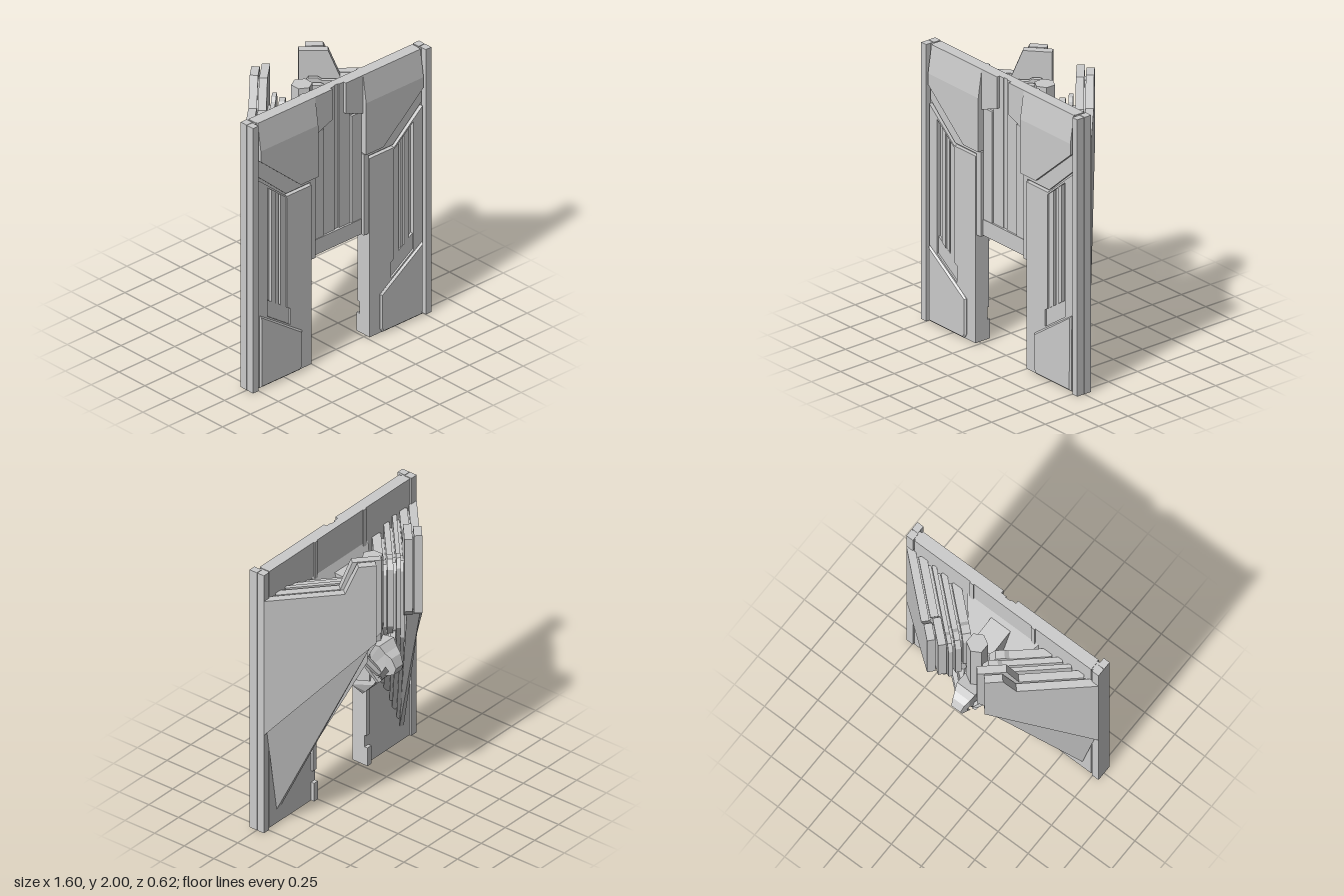
import * as THREE from 'three';
import { ConvexGeometry } from 'three/addons/geometries/ConvexGeometry.js';

const material = new THREE.MeshStandardMaterial({ color: 0xcccccc, flatShading: true });

// Applies a matrix and keeps faces outward when it mirrors
function transform(geo, matrix) {
  const g = geo.index ? geo.toNonIndexed() : geo.clone();
  g.applyMatrix4(matrix);
  if (matrix.determinant() < 0) {
    const p = g.attributes.position;
    for (let i = 0; i < p.count; i += 3) {
      const a = [p.getX(i), p.getY(i), p.getZ(i)];
      p.setXYZ(i, p.getX(i + 1), p.getY(i + 1), p.getZ(i + 1));
      p.setXYZ(i + 1, ...a);
    }
  }
  g.computeVertexNormals();
  return g;
}

// Outline in x/y, extruded from z0 to z1, with optional hole and chamfer
function slab(points, z0, z1, hole, bevel = 0) {
  const shape = new THREE.Shape(points.map(p => new THREE.Vector2(...p)));
  if (hole) shape.holes.push(new THREE.Path(hole.map(p => new THREE.Vector2(...p))));
  const geo = new THREE.ExtrudeGeometry(shape, {
    depth: z1 - z0 - bevel, bevelEnabled: bevel > 0, bevelSegments: 1,
    bevelThickness: bevel, bevelSize: bevel, bevelOffset: -bevel,
  });
  return geo.translate(0, 0, z0);
}

function box(x0, x1, y0, y1, z0, z1) {
  return new THREE.BoxGeometry(x1 - x0, y1 - y0, z1 - z0)
    .translate((x0 + x1) / 2, (y0 + y1) / 2, (z0 + z1) / 2);
}

function hull(points) {
  return new ConvexGeometry(points.map(p => new THREE.Vector3(...p)));
}

// Profile in z/y, extruded across x from x0 to x1
function sideProfile(points, x0, x1) {
  const m = new THREE.Matrix4().makeBasis(
    new THREE.Vector3(0, 0, 1), new THREE.Vector3(0, 1, 0), new THREE.Vector3(1, 0, 0));
  return transform(slab(points, x0, x1), m);
}

export function createModel() {
  const model = new THREE.Group();
  const identity = new THREE.Matrix4();
  const flip = new THREE.Matrix4().makeScale(-1, 1, 1);

  const add = (name, geo, m = identity) => {
    const mesh = new THREE.Mesh(transform(geo, m), material);
    mesh.name = name;
    model.add(mesh);
  };
  const addPair = (name, geo, m = identity) => {
    add(name + 'Left', geo, m);
    add(name + 'Right', geo, flip.clone().multiply(m));
  };

  // Front door: upper centre and two legs
  add('centrePanel', box(-0.26, 0.26, 0.81, 2, 0.195, 0.25));
  addPair('legCore', box(0.26, 0.735, 0.01, 2, 0.195, 0.265));
  addPair('sideRailFront', box(0.75, 0.8, 0, 2, 0.25, 0.31));
  addPair('sideRailMiddle', box(0.73, 0.79, 0.005, 1.995, 0.205, 0.27));
  addPair('sideRailBack', box(0.745, 0.8, 0, 2, 0.19, 0.246));
  addPair('rearTopStrip', box(0.24, 0.27, 1.4, 2, 0.187, 0.2));

  // Upper panel with its face sloping back towards the top edge
  addPair('upperPanel', slab([[0.73, 1.8], [0.73, 1.72], [0.37, 1.41], [0.215, 1.41], [0.215, 1.8]], 0.25, 0.31));
  addPair('upperPanelSlope', sideProfile([[0.25, 1.8], [0.31, 1.8], [0.28, 2], [0.25, 2]], 0.215, 0.73));
  addPair('upperInnerPanel', slab([[0.06, 2], [0.06, 1.77], [0.215, 1.71], [0.215, 2]], 0.24, 0.28));

  // Stepped band under the upper panel
  addPair('bandTrim', slab([[0.735, 1.75], [0.735, 1.6], [0.48, 1.375], [0.24, 1.375],
    [0.24, 1.42], [0.37, 1.42]], 0.25, 0.283));

  // Leg plate with a recess and sloped ribs inside it
  addPair('legPlate',
    slab([[0.26, 0.01], [0.735, 0.01], [0.735, 1.575], [0.48, 1.36], [0.26, 1.36]], 0.25, 0.295,
      [[0.48, 1.345], [0.655, 1.49], [0.655, 0.52], [0.45, 0.38], [0.45, 0.5], [0.48, 0.52]]));
  addPair('recessStep', slab([[0.45, 0.5], [0.655, 0.64], [0.655, 0.5], [0.45, 0.36]], 0.25, 0.282));
  [[0.48, 0.53, 0.285], [0.545, 0.57, 0.28], [0.575, 0.615, 0.288]].forEach(([a, b, z]) => {
    const top = x => 1.345 + (x - 0.48) * 0.83;
    const bottom = x => 0.5 + (x - 0.45) * 0.68;
    addPair('recessRib', slab([[a, bottom(a)], [b, bottom(b)], [b, top(b)], [a, top(a)]], 0.255, z));
  });

  // Lower shin panel
  addPair('shinPanel', slab([[0.73, 0.555], [0.35, 0.3], [0.35, 0.04], [0.37, 0.01], [0.73, 0.01]],
    0.28, 0.31, null, 0.012));

  // Centre strips, sill and inner flanges
  addPair('centreStripInner', box(0.02, 0.12, 0.91, 2, 0.24, 0.258));
  addPair('centreStripOuter', box(0.125, 0.21, 0.91, 1.72, 0.24, 0.268));
  add('centreSill', box(-0.21, 0.21, 0.8, 0.915, 0.2, 0.272));
  addPair('innerFlange', box(0.218, 0.26, 0.79, 1.4, 0.19, 0.285));

  // Rear leg edge strips and feet
  addPair('legRearEdge', box(0.26, 0.3, 0.24, 0.85, 0.18, 0.2));
  addPair('footBlock', box(0.26, 0.3, 0.01, 0.15, 0.17, 0.2));

  // Folded wing: layers stacked inward from a diagonal plane
  const dir = new THREE.Vector3(-0.747, 0, -0.665);
  const inward = new THREE.Vector3(-0.665, 0, 0.747);
  const wing = new THREE.Matrix4().makeBasis(dir, new THREE.Vector3(0, 1, 0), inward).setPosition(0.8, 0, 0.19);

  addPair('outerWingUpper', slab([[0, 0.76], [0.75, 1.4], [0.75, 2], [0.63, 2], [0.54, 1.8], [0, 1.8]], 0, 0.055), wing);
  // Lower facet leans inward from the crease to the bottom tip
  addPair('outerWingLower', hull([[0.02, 0.79, 0.012], [0.73, 1.4, 0.012], [0.1, 0.12, 0.09],
    [0.135, 0.13, 0.12], [0.74, 1.41, 0.1], [0.135, 0.95, 0.12]]), wing);
  addPair('wingSpacer', slab([[0.08, 0.9], [0.7, 1.4], [0.7, 1.96], [0.63, 1.96], [0.54, 1.77], [0.08, 1.77]], 0.05, 0.07), wing);
  addPair('secondWing', slab([[0.09, 0.95], [0.74, 1.38], [0.795, 1.44], [0.795, 2], [0.6, 2], [0.52, 1.8], [0.09, 1.8]],
    0.065, 0.12), wing);

  // Inner feather ribs: [start depth, end depth, length, top]
  [[0.115, 0.14, 0.71, 1.76], [0.14, 0.17, 0.77, 1.82], [0.17, 0.19, 0.7, 1.74], [0.19, 0.23, 0.75, 1.8],
    [0.23, 0.25, 0.66, 1.7], [0.25, 0.31, 0.7, 1.76]].forEach(([t0, t1, end, top], i) => {
    const start = 1.12 * t0 + 0.01;
    const low = 0.2 + 0.09 * i;
    const high = Math.min(1.3, low + 1.73 * (end - start));
    addPair('featherRib', slab([[start, low], [end, high], [end, top - 0.06],
      [end - 0.04, top], [end - 0.1, top], [end - 0.13, top - 0.02], [start, top - 0.02]], t0, t1), wing);
  });

  // Body between the wings
  add('bodyWedge', hull([-1, 1].flatMap(s => [[0.3 * s, 0.85, 0.2], [0.3 * s, 1.75, 0.2],
    [0.09 * s, 1.0, -0.05], [0.09 * s, 1.08, -0.05]])));
  add('spine', sideProfile([[0.2, 0.85], [0.2, 1.68], [-0.03, 1.66], [-0.12, 1.2], [-0.12, 0.95]], -0.08, 0.08));
  add('spineColumn', new THREE.CylinderGeometry(0.08, 0.08, 0.75, 6).scale(0.9, 1, 0.9).translate(0, 1.495, -0.08));

  // Hooked head and pointed body, narrowing to the beak and to the lower tip
  const head = sideProfile([[0.05, 0.85], [-0.02, 1.22], [-0.2, 1.25], [-0.24, 1.2], [-0.28, 1.17],
    [-0.31, 1.1], [-0.295, 1.05], [-0.235, 1.03], [-0.262, 1.07], [-0.24, 1.1], [-0.2, 1.02],
    [-0.15, 0.93], [-0.06, 0.83], [0, 0.77]], -0.075, 0.075);
  const p = head.attributes.position;
  for (let i = 0; i < p.count; i++) {
    const beak = THREE.MathUtils.clamp((-p.getZ(i) - 0.2) / 0.11, 0, 1);
    const tip = THREE.MathUtils.clamp((0.87 - p.getY(i)) / 0.1, 0, 1);
    p.setX(i, p.getX(i) * (1 - 0.5 * beak) * (1 - 0.95 * tip));
  }
  add('head', head);

  // Folded claws beside the head
  for (let i = 0; i < 2; i++) {
    const m = new THREE.Matrix4().makeRotationFromEuler(new THREE.Euler(0.45, 0, -0.3 - 0.2 * i))
      .setPosition(0.095 + 0.035 * i, 1.08 + 0.06 * i, -0.13 - 0.01 * i);
    addPair('claw', new THREE.CylinderGeometry(0.036, 0.024, 0.26, 6), m);
  }
  return model;
}
